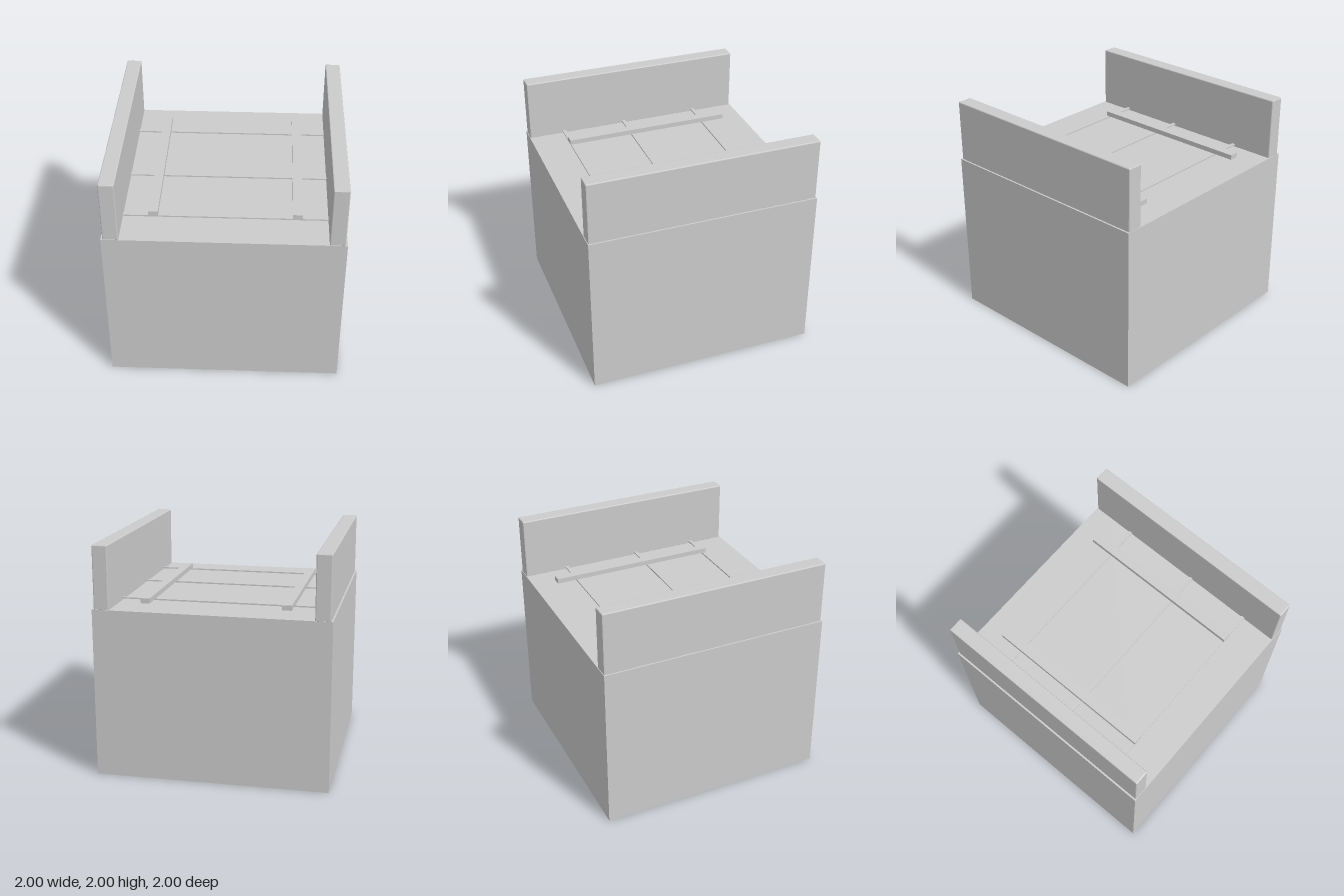
import * as THREE from 'three';
import { RoundedBoxGeometry } from 'three/addons/geometries/RoundedBoxGeometry.js';

export function createModel() {
  const group = new THREE.Group();
  const material = new THREE.MeshStandardMaterial({ color: 0xcccccc, flatShading: true });

  // Places a box by its extents along each axis; a bevel softens its edges
  function addBox(name, [x0, x1], [y0, y1], [z0, z1], bevel = 0) {
    const size = [x1 - x0, y1 - y0, z1 - z0];
    const geometry = bevel
      ? new RoundedBoxGeometry(...size, 1, bevel)
      : new THREE.BoxGeometry(...size);
    const mesh = new THREE.Mesh(geometry, material);
    mesh.name = name;
    mesh.position.set((x0 + x1) / 2, (y0 + y1) / 2, (z0 + z1) / 2);
    group.add(mesh);
  }

  const baseTop = 1.46;
  const barTop = 1.484;

  // Solid block
  addBox('base', [-1, 1], [0, baseTop], [-1, 1]);

  // Side walls and long rails, mirrored left and right
  for (const [side, s] of [['left', 1], ['right', -1]]) {
    const span = (a, b) => (s > 0 ? [a, b] : [-b, -a]);
    addBox(side + 'Wall', span(0.855, 0.985), [baseTop - 0.007, 2], [-0.995, 0.995], 0.008);
    addBox(side + 'Rail', span(0.56, 0.64), [barTop, 1.527], [-0.8, 0.695]);
  }

  // Thin cross bars between the walls, just clear of the block
  [-0.605, 0.095, 0.675].forEach((z, i) => {
    addBox('crossBar' + (i + 1), [-0.86, 0.86], [1.472, barTop], [z - 0.015, z + 0.015]);
  });

  return group;
}
